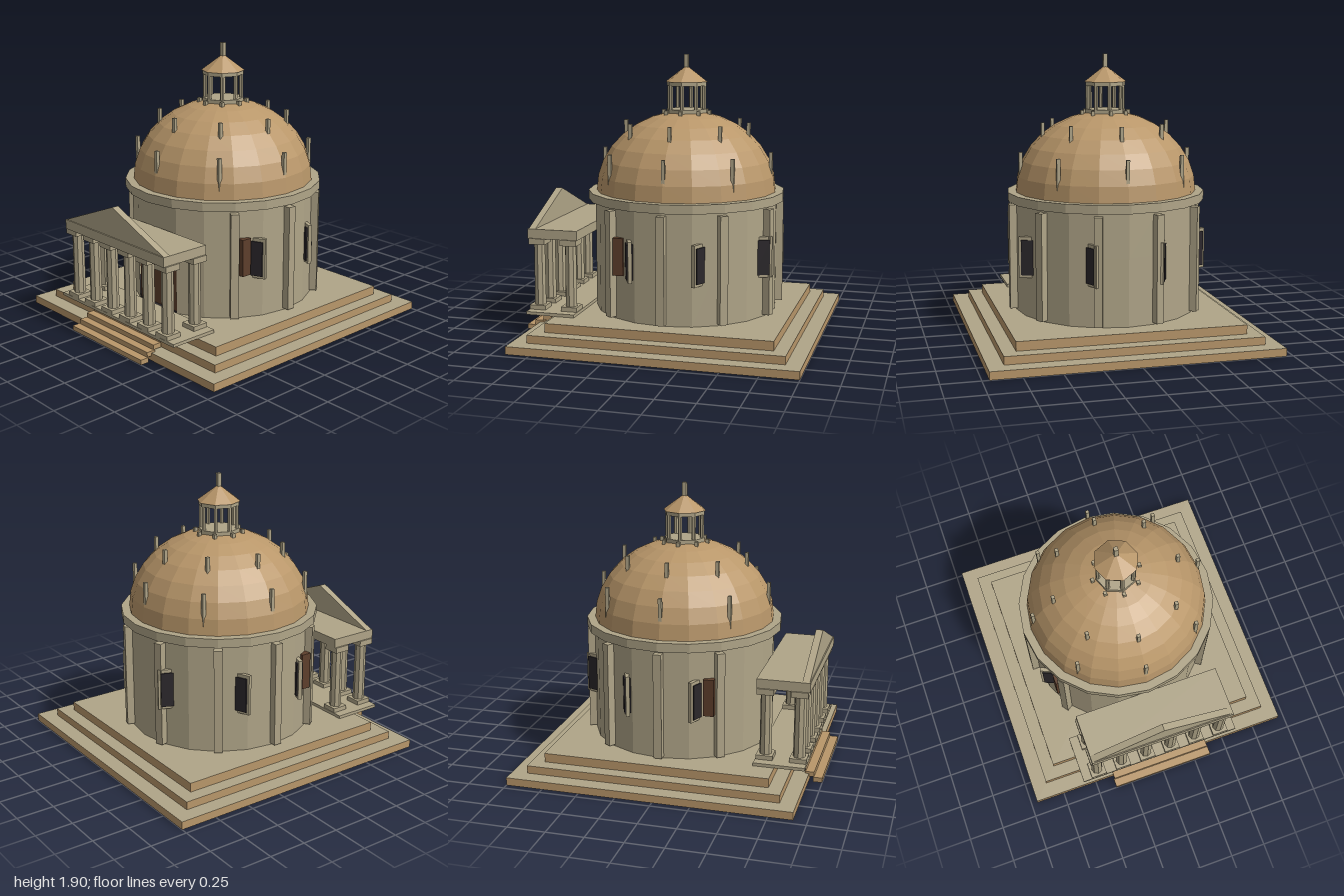
import * as THREE from 'three';

const stone = new THREE.MeshStandardMaterial({ color: 0xb0a588, side: THREE.DoubleSide });
stone.name = 'stone';
const tan = new THREE.MeshStandardMaterial({ color: 0xb9976a });
tan.name = 'tan';
const brown = new THREE.MeshStandardMaterial({ color: 0x5e3f2c });
brown.name = 'doorBrown';
const dark = new THREE.MeshStandardMaterial({ color: 0x2b272b });
dark.name = 'darkGlass';

const CZ = -0.045; // z of the rotunda axis

// Give a geometry faceted normals
function faceted(geo) {
  const g = geo.index ? geo.toNonIndexed() : geo;
  g.computeVertexNormals();
  return g;
}

function add(parent, name, geo, mat, x = 0, y = 0, z = 0) {
  const m = new THREE.Mesh(geo, mat);
  m.name = name;
  m.position.set(x, y, z);
  parent.add(m);
  return m;
}

// Box given by its bottom and top heights
function block(parent, name, mat, w, y0, y1, d, x = 0, z = 0) {
  return add(parent, name, new THREE.BoxGeometry(w, y1 - y0, d), mat, x, (y0 + y1) / 2, z);
}

// Faceted cylinder given by its bottom and top heights
function drum(parent, name, mat, rTop, rBottom, y0, y1, sides, x = 0, z = 0, ...rest) {
  const g = faceted(new THREE.CylinderGeometry(rTop, rBottom, y1 - y0, sides, 1, ...rest));
  return add(parent, name, g, mat, x, (y0 + y1) / 2, z);
}

// Call fn(angle, x, z) for n places on a circle
function ring(n, r, start, fn) {
  for (let i = 0; i < n; i++) {
    const a = start + (i * 2 * Math.PI) / n;
    fn(a, r * Math.cos(a), r * Math.sin(a));
  }
}

function makeBase() {
  const g = new THREE.Group();
  g.name = 'base';
  const faces = [tan, tan, stone, dark, tan, tan];
  [[1.91, 0, 0.053], [1.7, 0.053, 0.106], [1.52, 0.106, 0.167]].forEach(([s, y0, y1]) =>
    block(g, 'baseTier', faces, s, y0, y1, s, 0, CZ));
  // Front stairs
  for (let i = 0; i < 5; i++) {
    block(g, 'stairStep', tan, 0.74 - i * 0.012, i * 0.033, (i + 1) * 0.033, 0.062, 0, 0.969 - i * 0.056);
  }
  return g;
}

function makeRotunda() {
  const g = new THREE.Group();
  g.name = 'rotunda';
  g.position.z = CZ;
  const step = Math.PI / 10;
  drum(g, 'rotundaFloor', dark, 0.622, 0.622, 0.165, 0.18, 20);
  // Wall with a doorway in front
  drum(g, 'lowerWall', stone, 0.625, 0.625, 0.165, 0.62, 18, 0, 0, true, step, step * 18);
  drum(g, 'upperWall', stone, 0.625, 0.625, 0.62, 0.92, 20, 0, 0, true);
  drum(g, 'cornice', stone, 0.673, 0.673, 0.915, 0.975, 20);
  block(g, 'frontDoor', brown, 0.38, 0.18, 0.61, 0.03, 0, 0.575);
  block(g, 'doorLintel', stone, 0.38, 0.61, 0.62, 0.03, 0, 0.575);
  for (const s of [-1, 1]) block(g, 'sidePanel', brown, 0.07, 0.47, 0.72, 0.07, s * 0.536, 0.315);

  const nearFront = (a, limit) => Math.sin(a) > Math.cos(limit);
  ring(10, 0.646, 0, (a, x, z) => {
    if (nearFront(a, 0.4)) return;
    block(g, 'pilaster', stone, 0.05, 0.18, 0.895, 0.055, x, z).rotation.y = -a;
  });
  // Windows stand as fins set into the wall
  ring(8, 0.62, Math.PI / 8, (a, x, z) => {
    if (nearFront(a, 0.5)) return;
    block(g, 'windowFrame', stone, 0.145, 0.44, 0.715, 0.026, x, z).rotation.y = a;
    block(g, 'windowPane', dark, 0.11, 0.458, 0.693, 0.044, x, z).rotation.y = a;
  });
  return g;
}

function makeDome() {
  const g = new THREE.Group();
  g.name = 'dome';
  g.position.z = CZ;
  const shell = new THREE.SphereGeometry(0.617, 20, 8, 0, Math.PI * 2, 0, Math.PI / 2);
  shell.scale(1, 0.54 / 0.617, 1);
  add(g, 'domeShell', faceted(shell), tan, 0, 0.975, 0);
  // Rings of upright rods
  [[0.587, 1.0, 1.247], [0.433, 1.25, 1.443], [0.16, 1.44, 1.52]].forEach(([r, y0, y1]) =>
    ring(8, r, 0, (a, x, z) => block(g, 'domeRod', stone, 0.023, y0, y1, 0.023, x, z)));
  return g;
}

function makeLantern() {
  const g = new THREE.Group();
  g.name = 'lantern';
  g.position.z = CZ;
  drum(g, 'lanternBase', stone, 0.14, 0.14, 1.5, 1.527, 8);
  ring(8, 0.122, 0, (a, x, z) => drum(g, 'lanternColumn', stone, 0.014, 0.014, 1.52, 1.69, 6, x, z));
  drum(g, 'lanternRing', stone, 0.138, 0.138, 1.685, 1.712, 8);
  drum(g, 'lanternRoof', tan, 0, 0.147, 1.712, 1.822, 8);
  block(g, 'finial', stone, 0.028, 1.8, 1.898, 0.028);
  return g;
}

function makePortico() {
  const g = new THREE.Group();
  g.name = 'portico';
  block(g, 'porticoFloor', stone, 1.18, 0.167, 0.188, 0.34, 0, 0.745);
  const column = (x, z) => {
    block(g, 'columnBase', stone, 0.112, 0.186, 0.218, 0.112, x, z);
    drum(g, 'columnShaft', stone, 0.039, 0.041, 0.215, 0.64, 8, x, z);
    block(g, 'columnCapital', stone, 0.112, 0.637, 0.677, 0.112, x, z);
  };
  for (let i = 0; i < 6; i++) column(-0.47 + i * 0.188, 0.858);
  for (const x of [-0.47, 0.47]) column(x, 0.635);
  block(g, 'entablature', stone, 1.03, 0.675, 0.74, 0.35, 0, 0.75);
  // Triangular gable on the front edge
  const tri = new THREE.Shape([
    new THREE.Vector2(-0.51, 0.74), new THREE.Vector2(0.51, 0.74), new THREE.Vector2(0, 0.942),
  ]);
  add(g, 'pediment', new THREE.ExtrudeGeometry(tri, { depth: 0.048, bevelEnabled: false }), stone, 0, 0, 0.87);
  return g;
}

export function createModel() {
  const model = new THREE.Group();
  model.name = 'domedTemple';
  model.add(makeBase(), makeRotunda(), makeDome(), makeLantern(), makePortico());
  return model;
}
